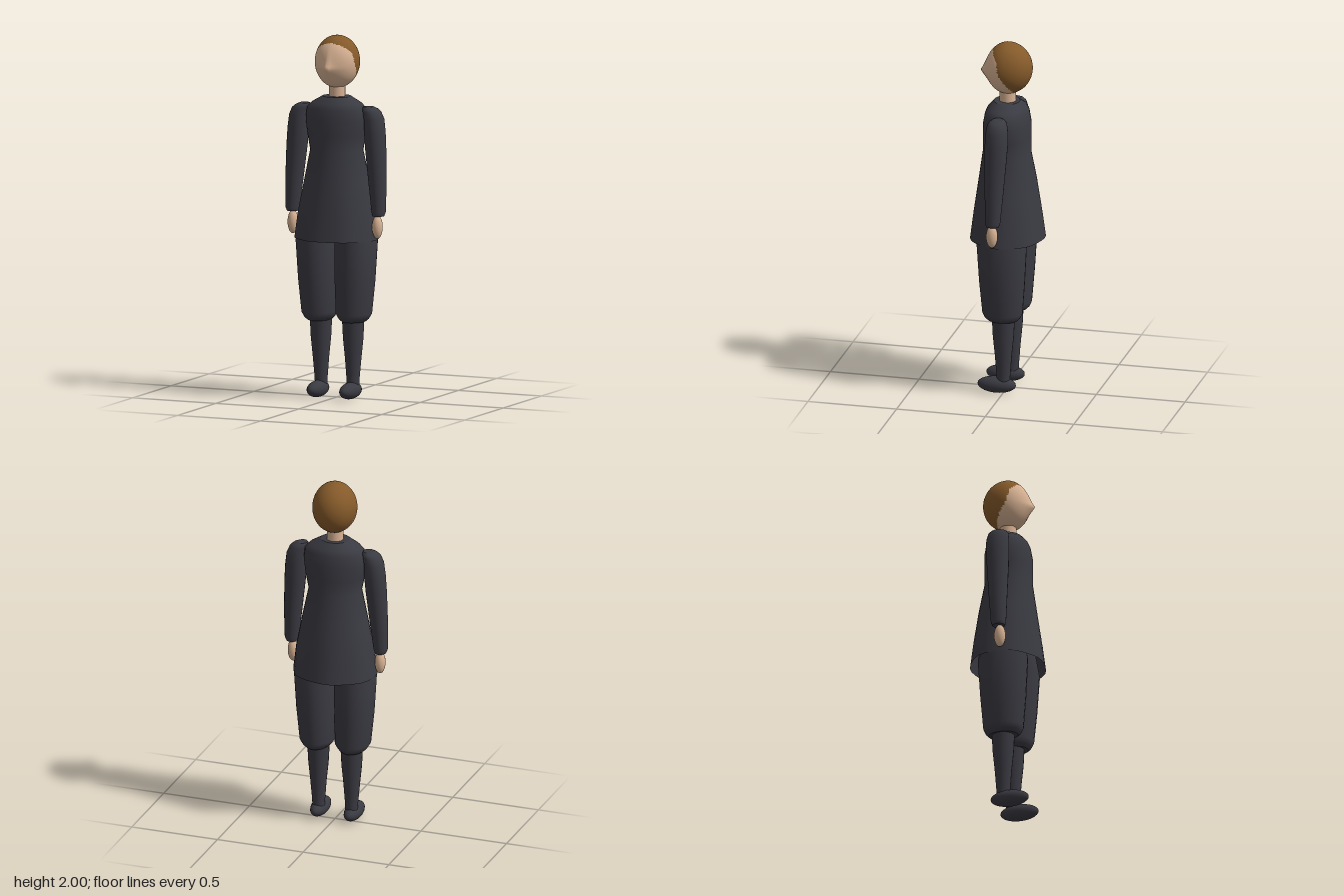
import * as THREE from 'three';
import { mergeVertices } from 'three/addons/utils/BufferGeometryUtils.js';

const cloth = new THREE.MeshStandardMaterial({ color: 0x3a3a42, side: THREE.DoubleSide });
cloth.name = 'dark cloth';
const skin = new THREE.MeshStandardMaterial({ color: 0xd9b394 });
skin.name = 'skin';
const hair = new THREE.MeshStandardMaterial({ color: 0x855a2a });
hair.name = 'brown hair';

// Skin over elliptical rings [y, centreX, centreZ, radiusX, radiusZ], listed bottom to top.
function loft(rings, { segs = 20, capBottom = true, capTop = true, ripple = () => 1 } = {}) {
  const pos = [], idx = [];
  const addRing = ([y, cx, cz, rx, rz]) => {
    const start = pos.length / 3;
    for (let j = 0; j < segs; j++) {
      const a = (j / segs) * Math.PI * 2;
      const k = ripple(a, y);
      pos.push(cx + rx * k * Math.cos(a), y, cz + rz * k * Math.sin(a));
    }
    return start;
  };
  const starts = rings.map(addRing);
  for (let i = 0; i < rings.length - 1; i++) {
    for (let j = 0; j < segs; j++) {
      const n = (j + 1) % segs;
      const a = starts[i] + j, b = starts[i] + n, c = starts[i + 1] + j, d = starts[i + 1] + n;
      idx.push(a, c, b, b, c, d);
    }
  }
  const cap = (ring, up) => {
    const s = addRing(ring), o = pos.length / 3;
    pos.push(ring[1], ring[0], ring[2]);
    for (let j = 0; j < segs; j++) {
      const n = (j + 1) % segs;
      if (up) idx.push(o, s + n, s + j);
      else idx.push(o, s + j, s + n);
    }
  };
  if (capBottom) cap(rings[0], false);
  if (capTop) cap(rings[rings.length - 1], true);
  const geo = new THREE.BufferGeometry();
  geo.setAttribute('position', new THREE.Float32BufferAttribute(pos, 3));
  geo.setIndex(idx);
  geo.computeVertexNormals();
  return geo;
}

function add(parent, name, geo, mat) {
  const mesh = new THREE.Mesh(geo, mat);
  mesh.name = name;
  parent.add(mesh);
  return mesh;
}

function ellipsoid(parent, name, mat, [x, y, z], [rx, ry, rz]) {
  const mesh = add(parent, name, new THREE.SphereGeometry(1, 24, 16), mat);
  mesh.position.set(x, y, z);
  mesh.scale.set(rx, ry, rz);
}

// Depth of the hairline at a given height, interpolated between a few points.
const HAIRLINE = [[1.70, -0.065], [1.72, -0.055], [1.775, -0.02], [1.845, 0.028], [1.91, 0.037], [1.965, 0.08], [2.01, 0.2]];
function hairlineZ(y) {
  for (let i = 1; i < HAIRLINE.length; i++) {
    const [y0, z0] = HAIRLINE[i - 1], [y1, z1] = HAIRLINE[i];
    if (y <= y1) return z0 + ((z1 - z0) * (y - y0)) / (y1 - y0);
  }
  return 1;
}

// Egg-shaped head whose front is drawn out to a nose; faces split into skin and hair.
function headGeometry() {
  let geo = new THREE.SphereGeometry(1, 56, 40);
  geo.deleteAttribute('uv');
  geo.deleteAttribute('normal');
  geo = mergeVertices(geo, 1e-4);
  const p = geo.attributes.position;
  for (let i = 0; i < p.count; i++) {
    const x = p.getX(i) * 0.123, y = 1.855 + p.getY(i) * 0.145;
    let z = p.getZ(i);
    if (z > 0) {
      const dy = y - 1.83;
      const nose = 0.041 * Math.exp(-Math.abs(x) / 0.032 - Math.abs(dy) / (dy > 0 ? 0.045 : 0.06));
      z = z * 0.115 + nose * Math.min(1, z * 2);
    } else z *= 0.138;
    p.setXYZ(i, x, y, z);
  }
  geo.computeVertexNormals();
  const faces = [[], []], index = geo.index.array;
  for (let t = 0; t < index.length; t += 3) {
    const tri = [index[t], index[t + 1], index[t + 2]];
    const y = tri.reduce((s, i) => s + p.getY(i), 0) / 3;
    const z = tri.reduce((s, i) => s + p.getZ(i), 0) / 3;
    faces[z > hairlineZ(y) ? 0 : 1].push(...tri);
  }
  geo.setIndex([...faces[0], ...faces[1]]);
  geo.addGroup(0, faces[0].length, 0);
  geo.addGroup(faces[0].length, faces[1].length, 1);
  return geo;
}

export function createModel() {
  const model = new THREE.Group();
  model.name = 'figure';

  // Head and neck
  add(model, 'head', headGeometry(), [skin, hair]);
  const neck = add(model, 'neck', new THREE.CylinderGeometry(0.045, 0.045, 0.14, 24), skin);
  neck.position.y = 1.7;

  // Flared tunic, open at a slightly rippled hem
  add(model, 'tunic', loft([
    [0.88, 0, 0, 0.235, 0.205],
    [1.02, 0, 0, 0.218, 0.187],
    [1.2, 0, 0, 0.183, 0.16],
    [1.37, 0, 0.004, 0.148, 0.132],
    [1.46, 0, 0.003, 0.168, 0.13],
    [1.54, 0, 0.003, 0.178, 0.129],
    [1.6, 0, 0.003, 0.172, 0.118],
    [1.63, 0, 0.003, 0.142, 0.105],
    [1.665, 0, 0.004, 0.08, 0.072],
  ], {
    segs: 32, capBottom: false,
    ripple: (a, y) => 1 + 0.015 * Math.sin(a * 7 + 1) * Math.max(0, (1.3 - y) / 0.42),
  }), cloth);

  for (const s of [1, -1]) {
    const side = new THREE.Group();
    side.name = s > 0 ? 'leftLimbs' : 'rightLimbs';
    model.add(side);
    const limb = (name, rings) =>
      add(side, name, loft(rings.map(([y, x, ...r]) => [y, x * s, ...r])), cloth);

    // Sleeve with a rounded shoulder and gathered cuff
    limb('sleeve', [
      [1.018, 0.258, 0.02, 0.031, 0.036],
      [1.04, 0.259, 0.019, 0.039, 0.042],
      [1.2, 0.25, 0.014, 0.05, 0.051],
      [1.38, 0.237, 0.009, 0.058, 0.06],
      [1.48, 0.23, 0.006, 0.059, 0.064],
      [1.55, 0.225, 0.005, 0.055, 0.063],
      [1.59, 0.213, 0.006, 0.05, 0.056],
      [1.607, 0.201, 0.006, 0.042, 0.046],
      [1.617, 0.192, 0.006, 0.028, 0.03],
    ]);
    ellipsoid(side, 'hand', skin, [s * 0.254, 0.958, 0.025], [0.029, 0.065, 0.032]);

    // Baggy knee breeches
    limb('breeches', [
      [0.425, 0.103, 0.002, 0.062, 0.082],
      [0.44, 0.103, 0.003, 0.08, 0.098],
      [0.47, 0.103, 0.003, 0.098, 0.112],
      [0.65, 0.11, 0.004, 0.109, 0.127],
      [0.87, 0.117, 0.004, 0.115, 0.14],
      [1.0, 0.105, 0.004, 0.085, 0.12],
    ]);

    // Stocking and shoe
    limb('lowerLeg', [
      [0.05, 0.096, 0, 0.034, 0.036],
      [0.1, 0.096, 0, 0.035, 0.038],
      [0.22, 0.097, 0, 0.045, 0.047],
      [0.33, 0.097, 0, 0.056, 0.058],
      [0.45, 0.097, 0, 0.062, 0.064],
    ]);
    ellipsoid(side, 'shoe', cloth, [s * 0.098, 0.046, 0.037], [0.047, 0.046, 0.108]);
  }
  return model;
}
